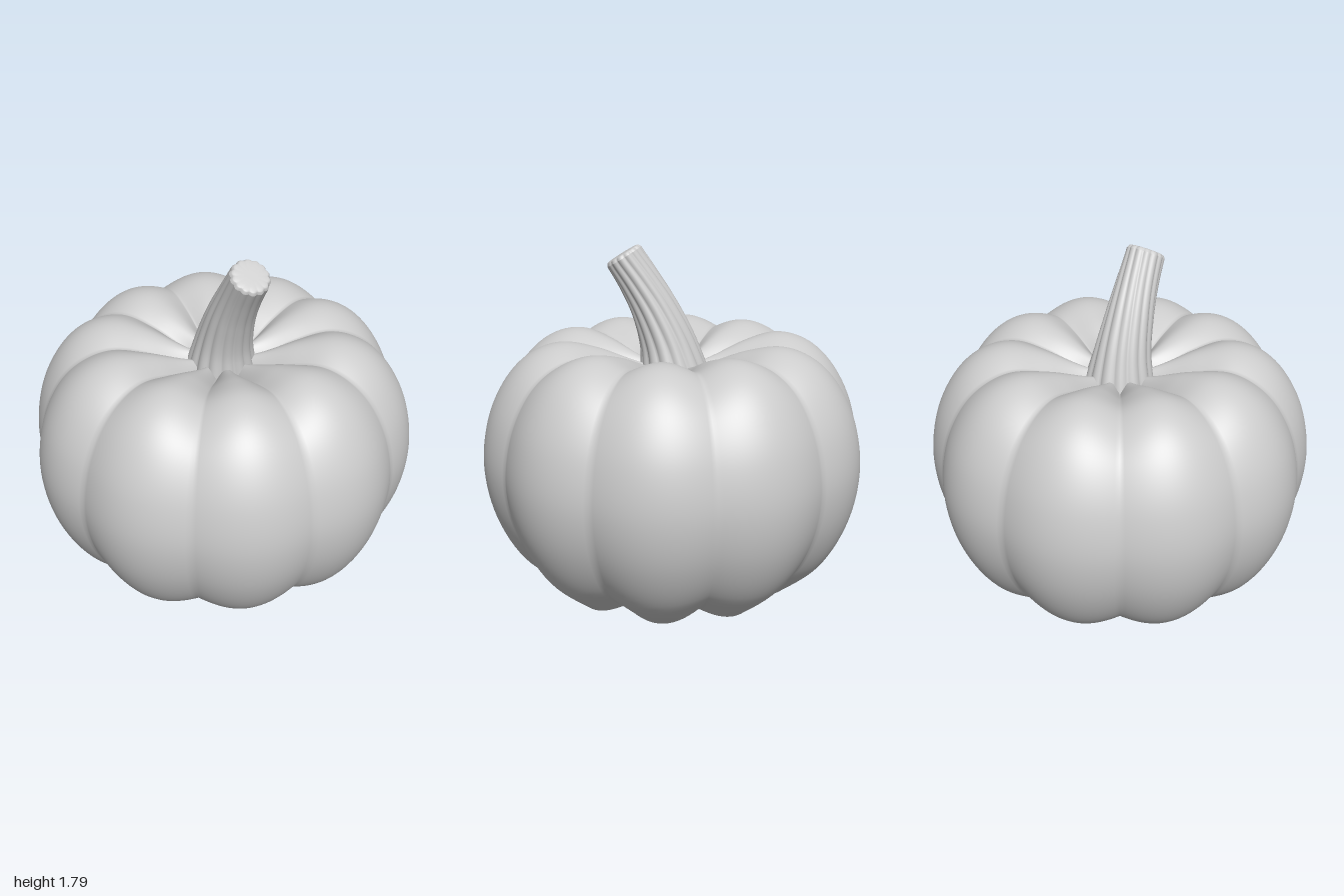
import * as THREE from 'three';

const LOBES = 10;
const RIBS = 14;

// Closed skin from rings: fn(t, angle) gives a point, t runs 0..1
function skin(name, rows, cols, fn) {
  const pos = [], index = [];
  for (let i = 0; i <= rows; i++) {
    for (let j = 0; j < cols; j++) {
      pos.push(...fn(i / rows, (j / cols) * Math.PI * 2).toArray());
      if (i === rows) continue;
      const a = i * cols + j, b = i * cols + (j + 1) % cols;
      index.push(a, a + cols, b, b, a + cols, b + cols);
    }
  }
  const geo = new THREE.BufferGeometry();
  geo.setAttribute('position', new THREE.Float32BufferAttribute(pos, 3));
  geo.setIndex(index);
  geo.computeVertexNormals();
  const mesh = new THREE.Mesh(geo, new THREE.MeshStandardMaterial({ color: 0xcccccc }));
  mesh.name = name;
  return mesh;
}

const spline = (pts) => new THREE.SplineCurve(pts.map(([x, y]) => new THREE.Vector2(x, y)));

// Lobed surface: blends the groove profile into the crest profile around the axis
function lobed(name, rows, crest, groove) {
  return skin(name, rows, 240, (t, a) => {
    const k = Math.abs(Math.cos(a * LOBES / 2));
    const p = groove.getPoint(t).lerp(crest.getPoint(t), k);
    return new THREE.Vector3(p.x * Math.cos(a), p.y, p.x * Math.sin(a));
  });
}

function createStem() {
  const stem = new THREE.Group();
  stem.name = 'stem';
  const path = new THREE.CatmullRomCurve3([
    [0, 1.08, -0.01], [0, 1.28, 0.028], [0.004, 1.46, 0.095], [0.012, 1.6, 0.168], [0.02, 1.73, 0.248],
  ].map((p) => new THREE.Vector3(...p)));
  const radius = spline([[0, 0.185], [0.28, 0.147], [0.55, 0.122], [0.8, 0.107], [1, 0.1]]);
  // Point on a ring square to the path, with twisted ribs
  const ring = (t, a, scale, lift) => {
    const tan = path.getTangent(t);
    const side = new THREE.Vector3(1, 0, 0);
    const out = new THREE.Vector3().crossVectors(side, tan).normalize();
    const r = radius.getPoint(t).y * scale * (0.93 + 0.08 * Math.abs(Math.cos(a * RIBS / 2)));
    const w = a + 0.5 * t;
    return path.getPoint(t)
      .addScaledVector(side, r * Math.cos(w))
      .addScaledVector(out, r * Math.sin(w))
      .addScaledVector(tan, lift);
  };
  stem.add(skin('stemStalk', 24, RIBS * 8, (t, a) => ring(t, a, 1, 0)));
  // Bevelled cut end
  const cut = spline([[1, 0], [0.93, 0.012], [0.82, 0.018], [0.4, 0.02], [0, 0.02]]);
  stem.add(skin('stemCutEnd', 8, RIBS * 8, (t, a) => {
    const c = cut.getPoint(t);
    return ring(1, a, c.x, c.y);
  }));
  return stem;
}

export function createModel() {
  const pumpkin = new THREE.Group();
  pumpkin.name = 'pumpkin';

  // Outer body, from the bottom rim up and over into the dip under the stem
  const crest = spline([[0.63, 0], [0.83, 0.18], [0.955, 0.42], [1, 0.68], [0.965, 0.93],
    [0.87, 1.13], [0.74, 1.26], [0.58, 1.313], [0.4, 1.28], [0.2, 1.2], [0, 1.13]]);
  const groove = spline([[0.6, 0.06], [0.79, 0.215], [0.91, 0.435], [0.955, 0.68], [0.92, 0.915],
    [0.83, 1.1], [0.71, 1.21], [0.56, 1.257], [0.39, 1.22], [0.2, 1.14], [0, 1.08]]);
  pumpkin.add(lobed('body', 70, crest, groove));

  // Hollow underside
  pumpkin.add(lobed('underside', 10, spline([[0, 0.11], [0.63, 0]]), spline([[0, 0.11], [0.6, 0.06]])));

  pumpkin.add(createStem());
  return pumpkin;
}
